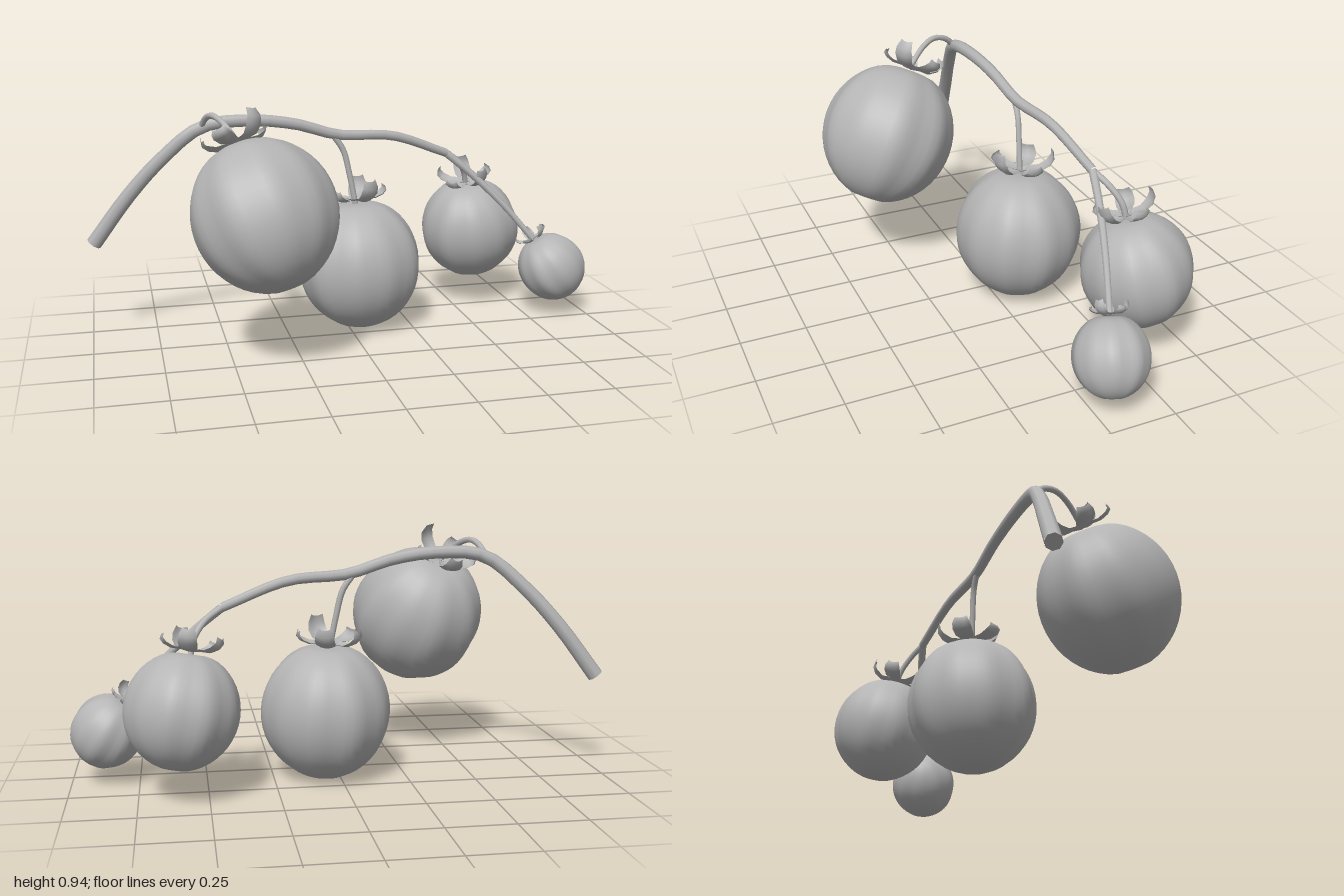
import * as THREE from 'three';
import { mergeVertices } from 'three/addons/utils/BufferGeometryUtils.js';

const grey = new THREE.MeshStandardMaterial({ color: 0xb4b4b4 });
grey.name = 'plain grey';
const leafGrey = grey.clone();
leafGrey.side = THREE.DoubleSide;
leafGrey.name = 'plain grey leaf';

const vec = (p) => new THREE.Vector3(...p);

function named(name, geometry, material = grey) {
  const mesh = new THREE.Mesh(geometry, material);
  mesh.name = name;
  return mesh;
}

// Tube along a smooth path, tapering from radius r0 to r1
function taperedTube(points, r0, r1, segments, sides = 8) {
  const curve = new THREE.CatmullRomCurve3(points.map(vec));
  const geo = new THREE.TubeGeometry(curve, segments, 1, sides, false);
  const pos = geo.attributes.position;
  const v = new THREE.Vector3();
  for (let i = 0; i < pos.count; i++) {
    const t = Math.floor(i / (sides + 1)) / segments;
    const c = curve.getPointAt(t);
    v.fromBufferAttribute(pos, i).sub(c).multiplyScalar(r0 + (r1 - r0) * t).add(c);
    pos.setXYZ(i, v.x, v.y, v.z);
  }
  return geo;
}

// Ribbed, slightly irregular fruit body with a dimple at each pole
function fruitGeometry(radius, half, phase) {
  const geo = new THREE.SphereGeometry(1, 48, 24);
  const pos = geo.attributes.position;
  for (let i = 0; i < pos.count; i++) {
    const x = pos.getX(i), y = pos.getY(i), z = pos.getZ(i);
    const phi = Math.acos(THREE.MathUtils.clamp(y, -1, 1));
    const theta = Math.atan2(z, x) + phase;
    const s = Math.sin(phi);
    const rib = 0.018 * Math.cos(10 * theta) + 0.012 * Math.cos(7 * theta + 1) + 0.008 * Math.sin(3 * theta);
    const k = radius * (1 + rib * Math.pow(Math.max(s, 0), 0.6));
    const top = 0.07 * Math.exp(-((phi / 0.3) ** 2));
    const bottom = 0.04 * Math.exp(-(((Math.PI - phi) / 0.14) ** 2));
    pos.setXYZ(i, x * k, half * (y - top + bottom), z * k);
  }
  geo.deleteAttribute('uv');
  geo.deleteAttribute('normal');
  const merged = mergeVertices(geo, 1e-5);
  merged.computeVertexNormals();
  return merged;
}

// Curled sepal pointing along +x: [distance, height, half width] per section
function sepalGeometry(curl) {
  const sections = [
    [0.0, 0.005, 0.018], [0.04, 0.012, 0.026], [0.08, 0.012, 0.035],
    [0.11, 0.012 + 0.022 * curl, 0.038], [0.125, 0.012 + 0.05 * curl, 0.034],
    [0.122, 0.012 + 0.082 * curl, 0.024],
  ];
  const across = 4;
  const geo = new THREE.PlaneGeometry(1, 1, across, sections.length - 1);
  const pos = geo.attributes.position;
  sections.forEach(([d, h, w], row) => {
    for (let j = 0; j <= across; j++) {
      const u = (j / across) * 2 - 1;
      pos.setXYZ(row * (across + 1) + j, d - 0.008 * u * u, h + 0.008 * u * u, w * u);
    }
  });
  geo.computeVertexNormals();
  return geo;
}

// Five sepals around the stalk
function calyx(scale, phase) {
  const group = new THREE.Group();
  group.name = 'calyx';
  [0.55, 0.9, 0.7, 0.5, 1].forEach((curl, i) => {
    const sepal = named('sepal', sepalGeometry(curl), leafGrey);
    sepal.rotation.y = phase + (i * Math.PI * 2) / 5;
    group.add(sepal);
  });
  group.scale.setScalar(scale);
  return group;
}

const fruits = [
  { at: [-0.385, 0.57, 0.26], axis: [-0.14, 0.47, -0.26], r: 0.258, h: 0.28, leaf: 1.0, phase: 0.4 },
  { at: [0.05, 0.262, -0.112], axis: [-0.02, 0.5, -0.03], r: 0.241, h: 0.26, leaf: 1.0, phase: 0 },
  { at: [0.588, 0.33, -0.322], axis: [-0.07, 0.4, 0.07], r: 0.202, h: 0.213, leaf: 0.92, phase: 0.1 },
  { at: [0.862, 0.203, -0.07], axis: [-0.145, 0.24, -0.055], r: 0.133, h: 0.142, leaf: 0.55, phase: 0.2 },
];

export function createModel() {
  const model = new THREE.Group();
  model.name = 'fruitBranch';

  // Main branch
  const path = [
    [-0.978, 0.382, -0.2], [-0.84, 0.57, -0.17], [-0.71, 0.715, -0.135], [-0.56, 0.835, -0.1],
    [-0.37, 0.852, -0.105], [-0.2, 0.83, -0.118], [-0.03, 0.78, -0.135],
    [0.2, 0.762, -0.17], [0.44, 0.675, -0.21],
  ];
  model.add(named('mainBranch', taperedTube(path, 0.03, 0.017, 28)));

  // Cut end of the branch
  const cut = named('branchEnd', new THREE.CircleGeometry(0.03, 8));
  cut.position.copy(vec(path[0]));
  cut.lookAt(vec(path[0]).multiplyScalar(2).sub(vec(path[1])));
  model.add(cut);

  // Stalks from the branch to each fruit
  const stalks = [
    [[-0.565, 0.83, -0.1], [-0.55, 0.872, -0.06], [-0.53, 0.89, 0], [-0.5, 0.872, 0.06], [-0.455, 0.81, 0.135]],
    [[-0.05, 0.78, -0.135], [-0.01, 0.72, -0.133], [0.015, 0.62, -0.128], [0.038, 0.5, -0.122]],
    [[0.44, 0.675, -0.21], [0.5, 0.635, -0.245], [0.54, 0.58, -0.275], [0.555, 0.52, -0.288]],
    [[0.44, 0.675, -0.21], [0.54, 0.59, -0.185], [0.67, 0.46, -0.143], [0.79, 0.315, -0.098]],
  ];
  stalks.forEach((points, i) => {
    const thick = i === 3 ? 0.016 : 0.012;
    model.add(named('stalk', taperedTube(points, thick, 0.011, 14)));
  });

  // Fruits with their calyxes, tilted along their own axes
  fruits.forEach(({ at, axis, r, h, leaf, phase }) => {
    const fruit = new THREE.Group();
    fruit.name = 'fruit';
    fruit.add(named('fruitBody', fruitGeometry(r, h, phase)));
    const crown = calyx(leaf, phase);
    crown.position.y = h * 0.945;
    fruit.add(crown);
    fruit.position.copy(vec(at));
    fruit.quaternion.setFromUnitVectors(new THREE.Vector3(0, 1, 0), vec(axis).normalize());
    model.add(fruit);
  });

  return model;
}
